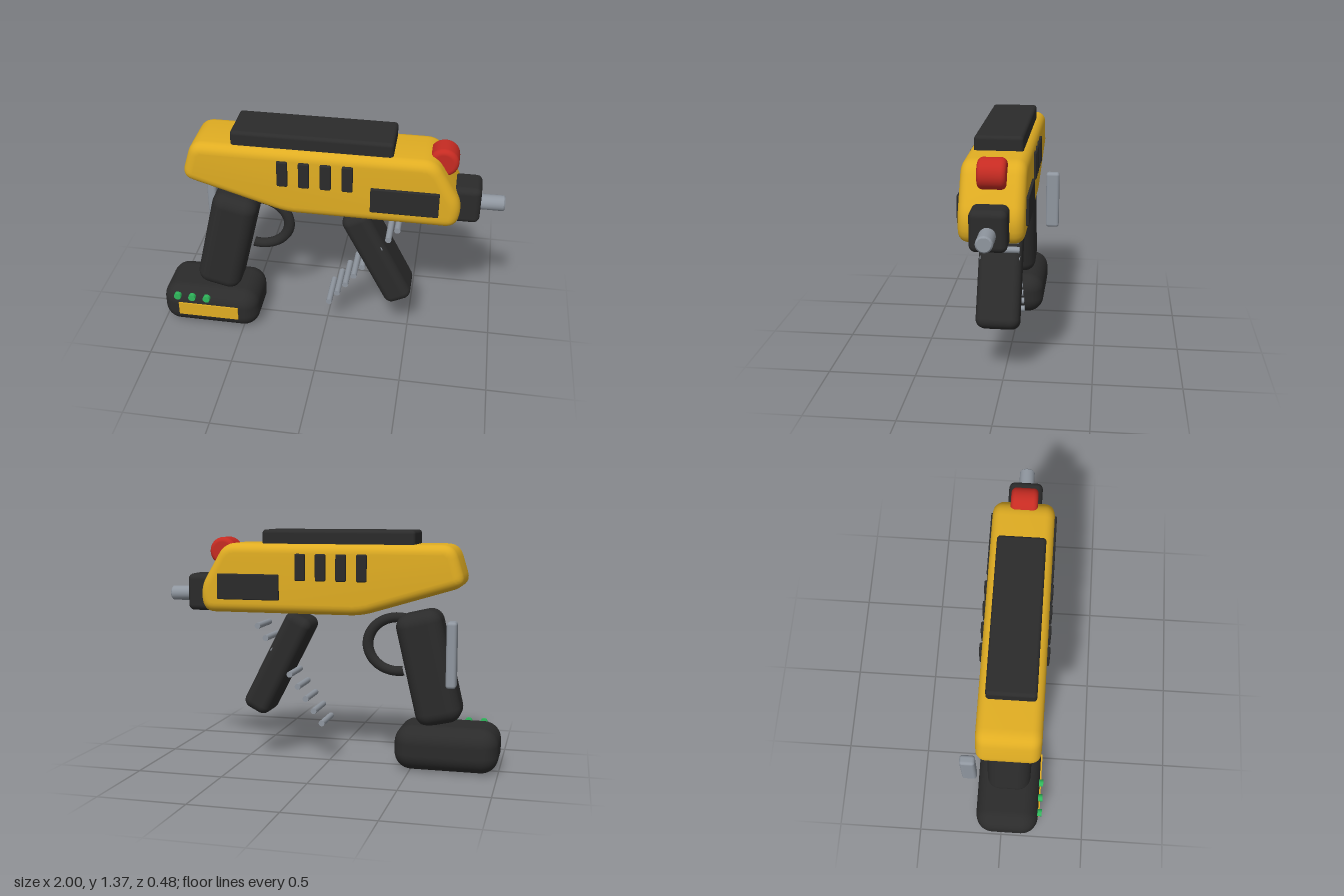
import * as THREE from 'three';
import { toCreasedNormals } from 'three/addons/utils/BufferGeometryUtils.js';
import { RoundedBoxGeometry } from 'three/addons/geometries/RoundedBoxGeometry.js';

const MID = 0.033; // depth of the tool's centre plane

function material(name, color) {
  const m = new THREE.MeshStandardMaterial({ color });
  m.name = name;
  return m;
}

// Closed outline with every corner cut back by d and rounded
function roundedOutline(points, d) {
  const shape = new THREE.Shape();
  const pts = points.map(([x, y]) => new THREE.Vector2(x, y));
  pts.forEach((p, i) => {
    const toward = (q) => p.clone().add(q.clone().sub(p).setLength(d));
    const a = toward(pts[(i + pts.length - 1) % pts.length]);
    const b = toward(pts[(i + 1) % pts.length]);
    if (i === 0) shape.moveTo(a.x, a.y);
    else shape.lineTo(a.x, a.y);
    shape.quadraticCurveTo(p.x, p.y, b.x, b.y);
  });
  shape.closePath();
  return shape;
}

export function createModel() {
  const group = new THREE.Group();
  group.name = 'powerTool';
  const yellow = material('yellow', 0xe0ad22);
  const dark = material('charcoal', 0x2b2b2b);
  const grey = material('steelGrey', 0x8f969f);
  const red = material('red', 0xc62b22);
  const green = material('green', 0x2fb95c);

  const add = (name, geometry, mat, x, y, z = MID, rz = 0) => {
    const mesh = new THREE.Mesh(geometry, mat);
    mesh.name = name;
    mesh.position.set(x, y, z);
    mesh.rotation.z = rz;
    group.add(mesh);
    return mesh;
  };
  const rounded = (w, h, d, r) => new RoundedBoxGeometry(w, h, d, 5, r);
  const rodZ = (r, length, sides) => new THREE.CylinderGeometry(r, r, length, sides).rotateX(Math.PI / 2);

  // Main housing: bevelled side profile
  const profile = roundedOutline([
    [-0.805, 1.065], [-0.735, 1.292], [0.61, 1.292],
    [0.765, 1.03], [0.745, 0.885], [-0.21, 0.885],
  ], 0.07);
  const bevel = 0.055;
  const housing = new THREE.ExtrudeGeometry(profile, {
    depth: 0.345 - 2 * bevel, curveSegments: 6,
    bevelEnabled: true, bevelThickness: bevel, bevelSize: bevel, bevelOffset: -bevel, bevelSegments: 6,
  });
  housing.translate(0, 0, -(0.345 - 2 * bevel) / 2);
  add('housing', toCreasedNormals(housing, 0.7), yellow, 0, 0);

  // Top rail, side panels and vents (these pass through to both sides)
  add('topRail', rounded(0.895, 0.11, 0.265, 0.02), dark, -0.067, 1.315);
  add('sidePanels', rounded(0.375, 0.15, 0.375, 0.006), dark, 0.455, 1.04);
  for (let i = 0; i < 4; i++) {
    add('vent', rounded(0.06, 0.155, 0.375, 0.008), dark, -0.22 + i * 0.12, 1.158);
  }

  // Nose and tip
  add('nose', rounded(0.16, 0.22, 0.195, 0.035), dark, 0.787, 0.995);
  const tip = new THREE.LatheGeometry(
    [[0, -0.09], [0.044, -0.09], [0.044, 0.062], [0.036, 0.07], [0, 0.07]].map(([x, y]) => new THREE.Vector2(x, y)), 20);
  add('tip', toCreasedNormals(tip.rotateZ(-Math.PI / 2), 0.5), grey, 0.93, 0.98);

  // Red drum with softened rims
  const drumProfile = new THREE.Path();
  const R = 0.083, H = 0.075, C = 0.028;
  drumProfile.moveTo(0, -H);
  drumProfile.lineTo(R - C, -H);
  drumProfile.absarc(R - C, -H + C, C, -Math.PI / 2, 0);
  drumProfile.absarc(R - C, H - C, C, 0, Math.PI / 2);
  drumProfile.lineTo(0, H);
  const drum = new THREE.LatheGeometry(drumProfile.getPoints(5), 28).rotateX(Math.PI / 2);
  add('button', drum, red, 0.647, 1.24);

  // Handles
  add('rearGrip', rounded(0.268, 0.66, 0.255, 0.075), dark, -0.59, 0.585, MID, -0.23);
  add('frontGrip', rounded(0.168, 0.645, 0.245, 0.05), dark, 0.307, 0.58, MID, 0.475);

  // Trigger guard loop
  const arc = Math.PI * 1.14;
  const guard = new THREE.TorusGeometry(0.158, 0.029, 12, 40, arc).rotateZ(-arc / 2).scale(1.12, 1, 1);
  add('triggerGuard', guard, dark, -0.4, 0.71);

  // Battery base with label and lights
  add('battery', rounded(0.595, 0.26, 0.375, 0.1), dark, -0.7025, 0.13);
  add('batteryLabel', new THREE.BoxGeometry(0.37, 0.085, 0.009), yellow, -0.705, 0.133, 0.2245);
  for (let i = 0; i < 3; i++) {
    add('light', rodZ(0.022, 0.026, 10), green, -0.89 + i * 0.09, 0.232, 0.228);
  }

  // Grey side bar
  add('sideBar', rounded(0.057, 0.37, 0.086, 0.018), grey, -0.742, 0.695, -0.193);

  // Slanted row of grey rods
  for (let i = 0; i < 9; i++) {
    add('rod', rodZ(0.018, 0.226, 12), grey, 0.42 - i * 0.0488, 0.805 - i * 0.0708);
  }
  return group;
}
